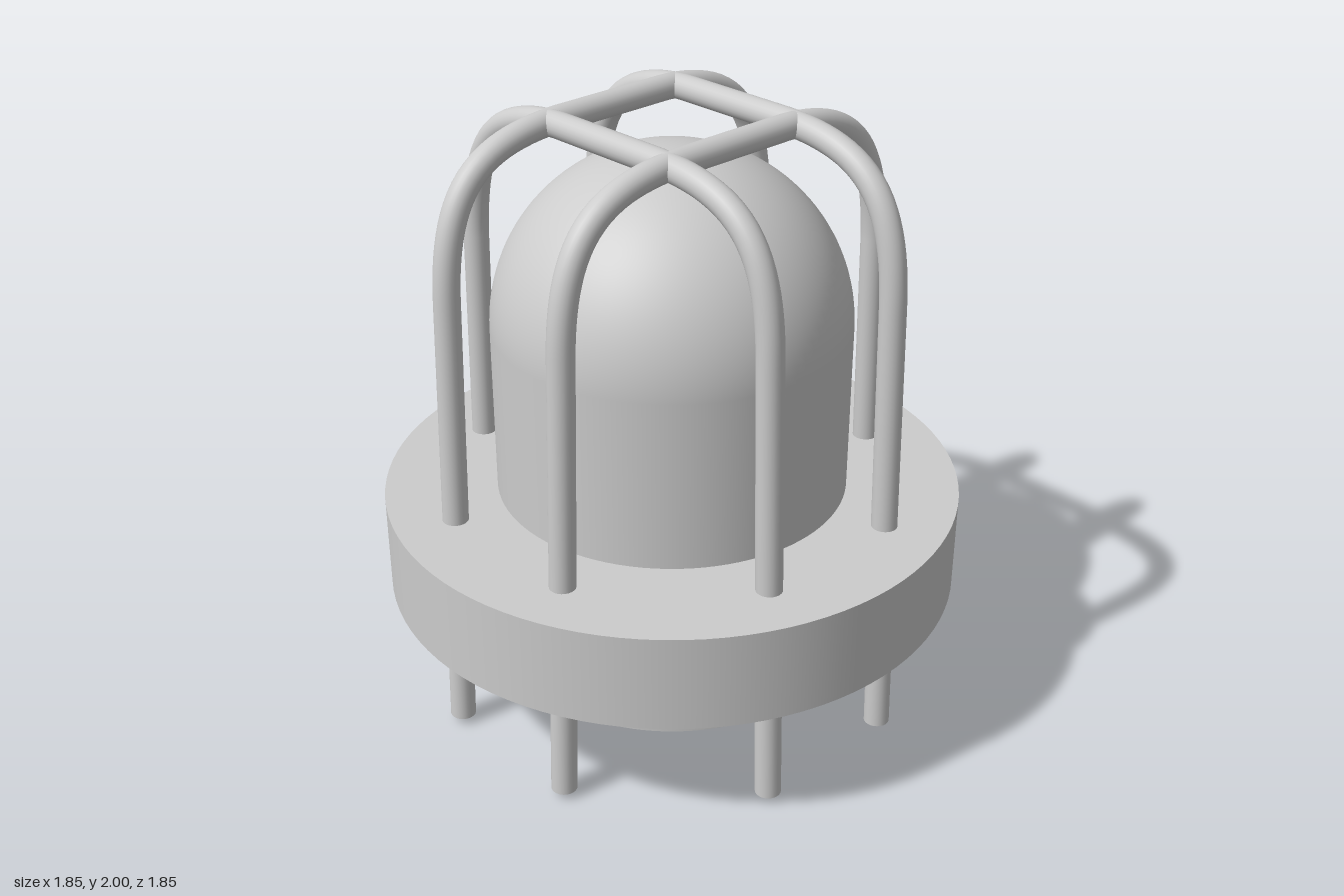
import * as THREE from 'three';

const material = new THREE.MeshStandardMaterial({ color: 0xcccccc });
const openMaterial = new THREE.MeshStandardMaterial({ color: 0xcccccc, side: THREE.DoubleSide });

const RADIUS = 0.565; // lamp body
const BAR_OFFSET = 0.257;

function add(parent, name, geometry, y = 0, mat = material) {
  const mesh = new THREE.Mesh(geometry, mat);
  mesh.name = name;
  mesh.position.y = y;
  parent.add(mesh);
  return mesh;
}

// One bent guard bar: splayed legs, rounded shoulders, flat top
function guardBarGeometry() {
  const v = (x, y) => new THREE.Vector3(x, y, 0);
  const path = new THREE.CurvePath();
  path.add(new THREE.LineCurve3(v(-0.705, 0.03), v(-0.663, 1.5)));
  path.add(new THREE.CubicBezierCurve3(v(-0.663, 1.5), v(-0.654, 1.86), v(-0.52, 1.95), v(-0.22, 1.96)));
  path.add(new THREE.LineCurve3(v(-0.22, 1.96), v(0.22, 1.96)));
  path.add(new THREE.CubicBezierCurve3(v(0.22, 1.96), v(0.5, 1.945), v(0.625, 1.83), v(0.641, 1.5)));
  path.add(new THREE.LineCurve3(v(0.641, 1.5), v(0.673, 0.005)));
  return new THREE.TubeGeometry(path, 160, 0.041, 24, false);
}

export function createModel() {
  const model = new THREE.Group();
  model.name = 'cagedLamp';

  // Lamp body with hemispherical dome
  add(model, 'lampBody', new THREE.CylinderGeometry(RADIUS, RADIUS, 1.16, 96), 0.74);
  add(model, 'lampDome', new THREE.SphereGeometry(RADIUS, 96, 32, 0, Math.PI * 2, 0, Math.PI / 2), 1.32);

  // Mounting flange
  add(model, 'flange', new THREE.CylinderGeometry(0.925, 0.925, 0.313, 96), 0.612);

  // Two crossing pairs of guard bars
  const barGeometry = guardBarGeometry();
  for (const [name, turn] of [['crossBars', 0], ['depthBars', Math.PI / 2]]) {
    const pair = new THREE.Group();
    pair.name = name;
    pair.rotation.y = turn;
    for (const side of [-1, 1]) {
      add(pair, 'guardBar', barGeometry, 0, openMaterial).position.z = side * BAR_OFFSET;
    }
    model.add(pair);
  }
  return model;
}
